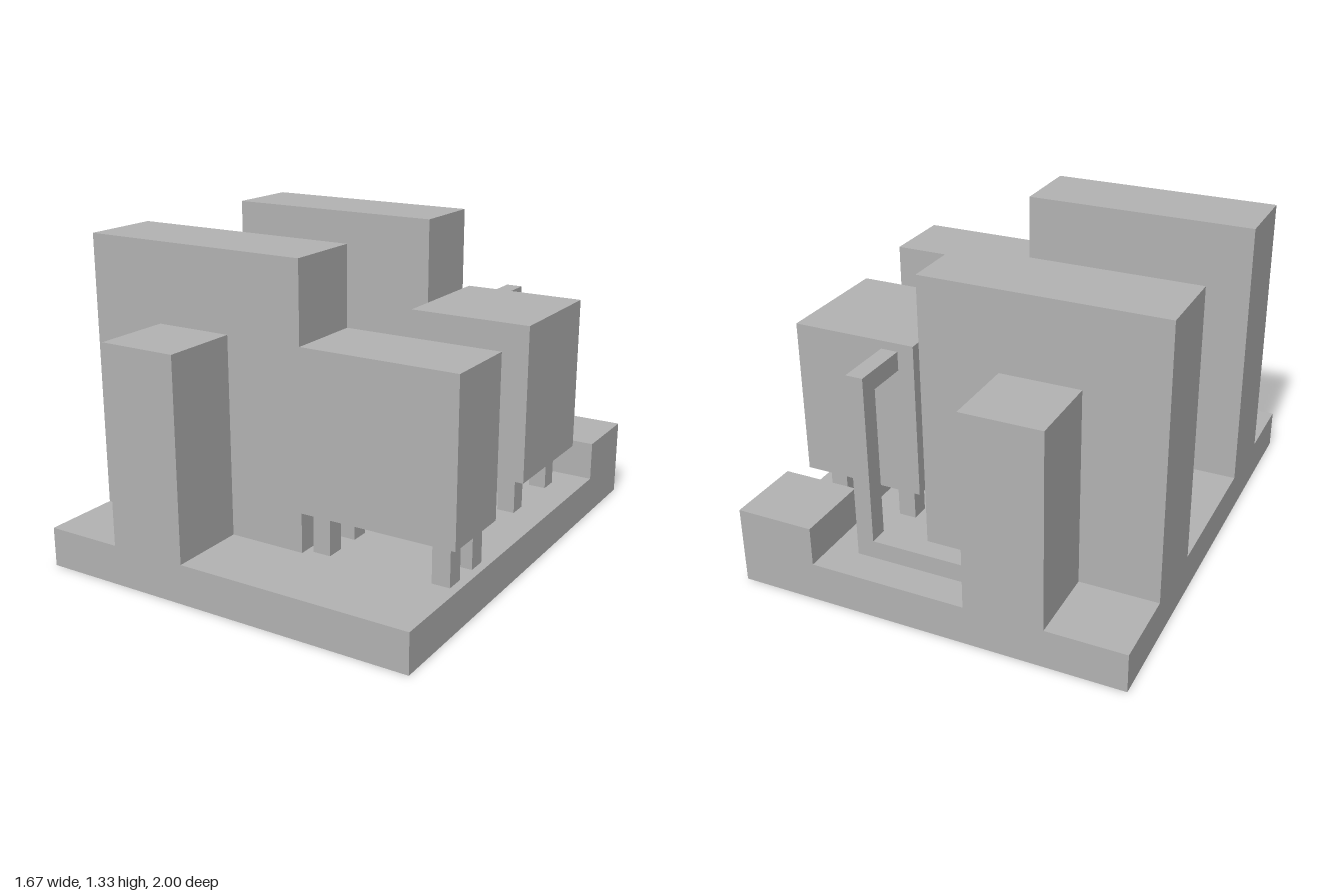
import * as THREE from 'three';

export function createModel() {
  const model = new THREE.Group();
  const grey = new THREE.MeshStandardMaterial({ color: 0xb2b2b2 });
  grey.name = 'plain grey';

  // Box given by its extents along each axis
  function block(name, [x0, x1], [y0, y1], [z0, z1], parent = model) {
    const mesh = new THREE.Mesh(new THREE.BoxGeometry(x1 - x0, y1 - y0, z1 - z0), grey);
    mesh.position.set((x0 + x1) / 2, (y0 + y1) / 2, (z0 + z1) / 2);
    mesh.name = name;
    parent.add(mesh);
  }

  const W = 0.833, floor = 0.167, low = 0.333;
  const pipeLow = [floor, 0.245];

  // Four square legs standing on the base under a raised block
  function legs(name, xs, zs) {
    const group = new THREE.Group();
    group.name = name;
    for (const x of xs) for (const z of zs)
      block('leg', [x - 0.038, x + 0.038], [floor, low], [z - 0.04, z + 0.04], group);
    model.add(group);
  }

  block('base', [-W, W], [0, floor], [-1, 1]);

  // Two tall slabs, each with a tower on its outer side
  for (const [side, s] of [['front', 1], ['back', -1]]) {
    const span = (a, b) => (s > 0 ? [a, b] : [-b, -a]);
    block(side + 'Slab', [-W, 0.167], [floor, 1.333], span(0.333, 0.667));
    block(side + 'Tower', [-0.5, -0.167], [floor, 1], span(0.667, 1));
  }

  // Raised blocks on legs
  block('frontRaisedBlock', [0.167, W], [low, 1], [0.333, 0.667]);
  legs('frontLegs', [0.238, 0.76], [0.415, 0.595]);
  block('backTank', [0.233, 0.767], [low, 1], [-0.6, -0.067]);
  legs('backTankLegs', [0.335, 0.665], [-0.168, -0.495]);

  // Low block in the back corner
  block('cornerBlock', [0.5, W], [floor, low], [-1, -0.667]);

  // Square pipe from the back tower, up and over into the tank
  const tall = new THREE.Group();
  tall.name = 'tallPipe';
  block('lowerRun', [-0.167, 0.303], pipeLow, [-0.858, -0.777], tall);
  block('riser', [0.303, 0.376], [floor, 0.965], [-0.858, -0.777], tall);
  block('upperRun', [0.303, 0.376], [0.885, 0.965], [-0.777, -0.6], tall);
  model.add(tall);

  // Short pipe from the corner block to the underside of the tank
  const short = new THREE.Group();
  short.name = 'shortPipe';
  block('floorRun', [0.513, 0.588], pipeLow, [-0.667, -0.37], short);
  block('riser', [0.513, 0.588], [floor, low], [-0.37, -0.29], short);
  model.add(short);

  return model;
}
